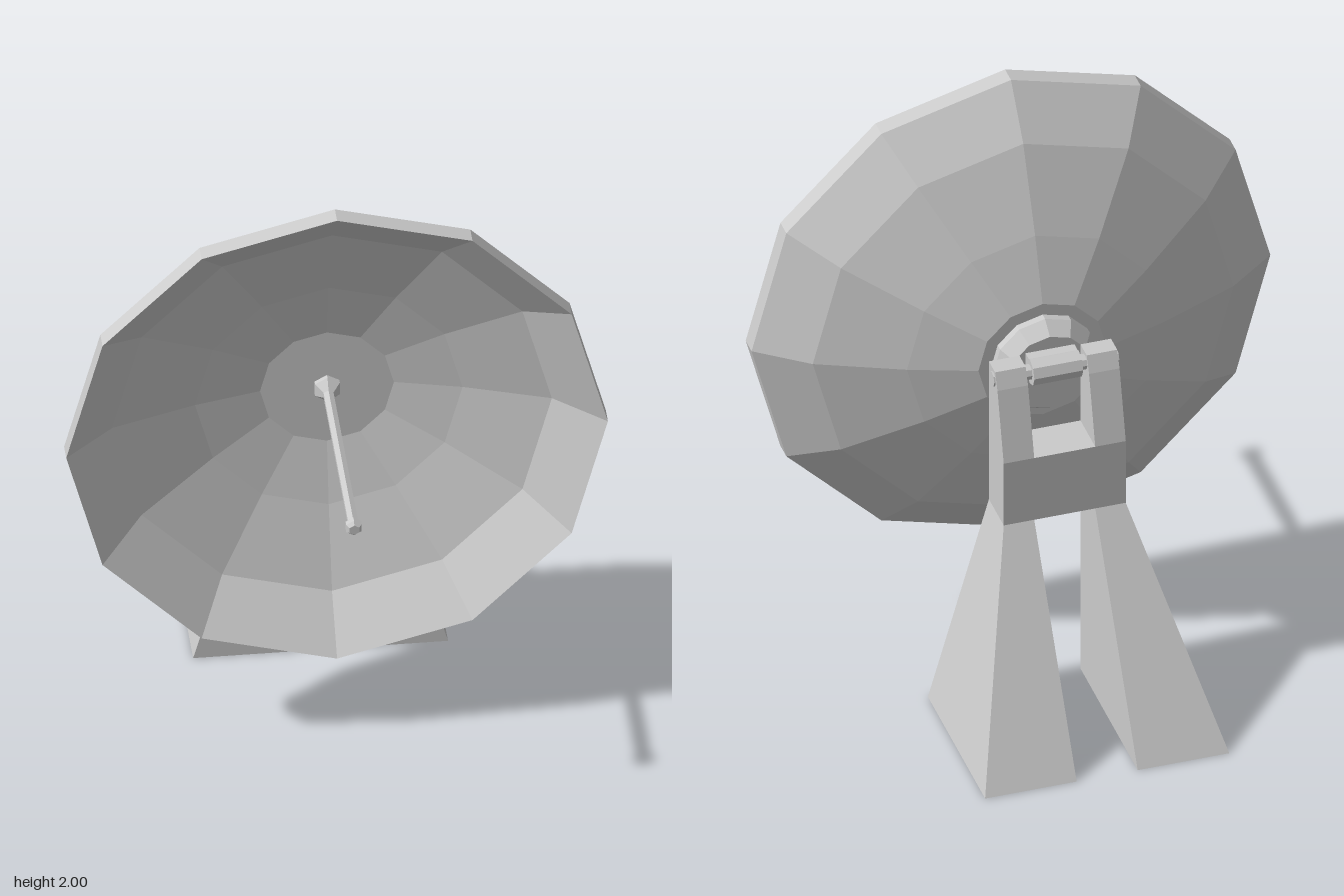
import * as THREE from 'three';
import { ConvexGeometry } from 'three/addons/geometries/ConvexGeometry.js';

const AXIS_Y = 1.15; // height of the dish axis
const HINGE_Y = 1.2, HINGE_Z = -0.22;

export function createModel() {
  const model = new THREE.Group();
  const material = new THREE.MeshStandardMaterial({ color: 0xcccccc, flatShading: true });

  function add(name, geometry, x = 0, y = 0, z = 0) {
    const mesh = new THREE.Mesh(geometry, material);
    mesh.name = name;
    mesh.position.set(x, y, z);
    model.add(mesh);
    return mesh;
  }

  // Turned part around the dish axis; profile is [radius, z] from back to front
  function turned(name, profile, sides) {
    const points = profile.map(([r, z]) => new THREE.Vector2(r, z));
    return add(name, new THREE.LatheGeometry(points, sides).rotateX(Math.PI / 2), 0, AXIS_Y, 0);
  }

  // Cylinder lying along x
  function axle(name, radius, length, sides, x) {
    const geometry = new THREE.CylinderGeometry(radius, radius, length, sides).rotateZ(Math.PI / 2);
    return add(name, geometry, x, HINGE_Y, HINGE_Z);
  }

  // Dish shell: outer back, rim, then the inner bowl
  turned('dish', [
    [0, -0.1], [0.21, -0.1], [0.42, -0.025], [0.69, 0.095], [0.85, 0.22],
    [0.85, 0.28], [0.69, 0.14], [0.42, 0.05], [0.21, 0], [0, 0],
  ], 12);

  // Feed rod with flared base and bulb tip
  turned('feedRod', [
    [0.045, -0.01], [0.045, 0.015], [0.018, 0.045], [0.018, 0.715],
    [0.028, 0.728], [0.028, 0.745], [0.018, 0.757], [0, 0.757],
  ], 6);

  // Hub behind the dish
  turned('hub', [[0, -0.175], [0.135, -0.175], [0.17, -0.125], [0.17, -0.095]], 12);

  // Hinge barrel, its link to the hub and the pins through the arms
  axle('hingeBarrel', 0.045, 0.16, 8, 0);
  add('hingeLink', new THREE.BoxGeometry(0.16, 0.08, 0.06), 0, HINGE_Y, -0.195);
  axle('hingePin', 0.025, 0.41, 8, 0);

  // Legs: splayed foot below, straight arm above
  const armProfile = [
    [0.71, -0.175], [0.71, -0.325], [0.945, -0.325],
    [1.18, -0.262], [1.235, -0.238], [1.235, -0.175],
  ];
  const footProfile = [[0, -0.175, 0.4], [0, -0.755, 0.4], [0.71, -0.175, 0.2], [0.71, -0.325, 0.2]];
  for (const [side, s] of [['left', 1], ['right', -1]]) {
    const foot = footProfile.flatMap(([y, z, outer]) =>
      [0.1, outer].map((x) => new THREE.Vector3(s * x, y, z)));
    const arm = armProfile.flatMap(([y, z]) =>
      [0.1, 0.2].map((x) => new THREE.Vector3(s * x, y, z)));
    add(side + 'Leg', new ConvexGeometry(foot));
    add(side + 'Arm', new ConvexGeometry(arm));
  }

  // Crossbar joining the two arms
  add('crossbar', new THREE.BoxGeometry(0.2, 0.235, 0.15), 0, 0.8275, -0.25);

  return model;
}
